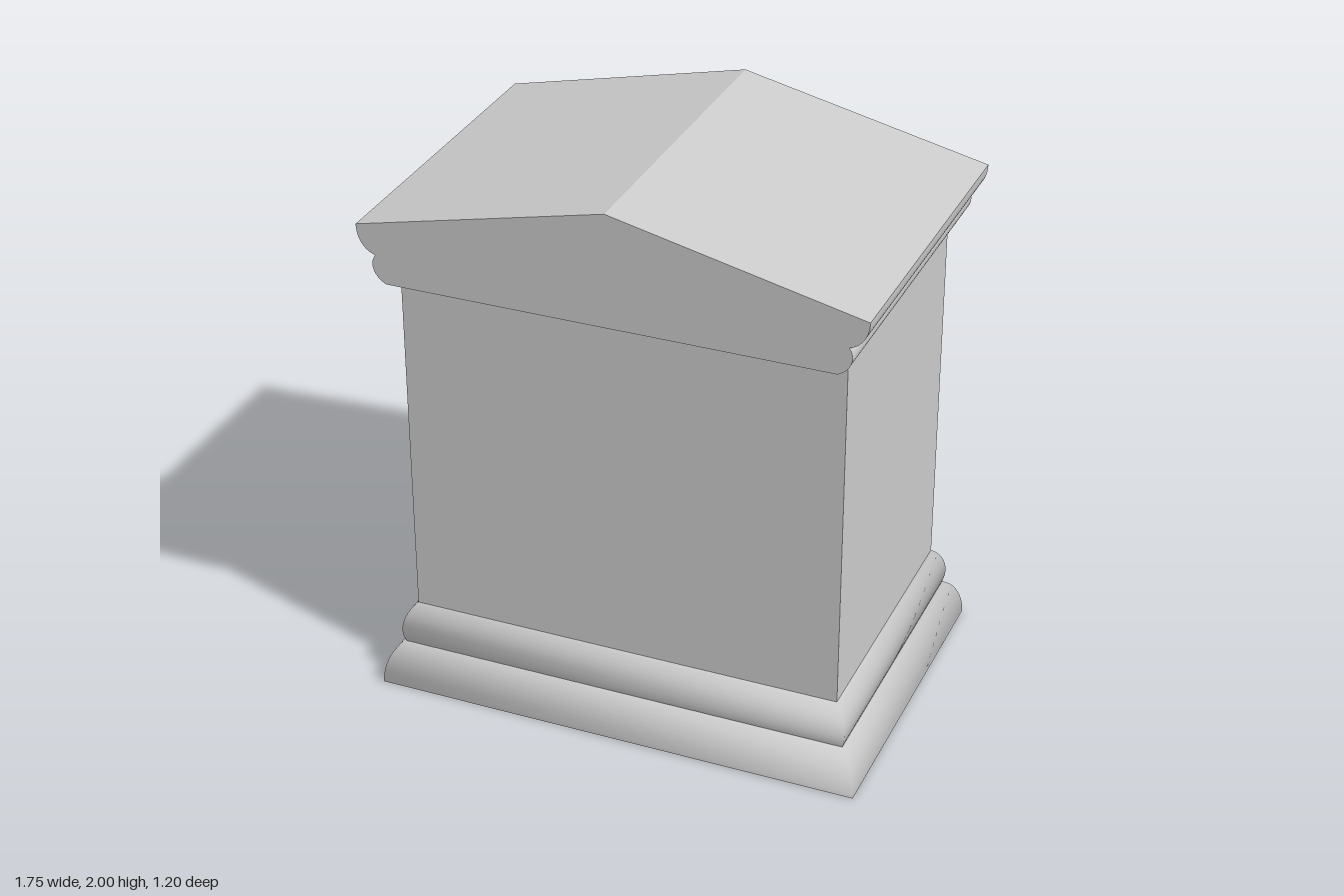
import * as THREE from 'three';
import { toCreasedNormals } from 'three/addons/utils/BufferGeometryUtils.js';

const W = 0.775, D = 0.5;          // half width and half depth of the body
const BASE = 0.3, EAVES = 1.6;     // bottom and top of the body

export function createModel() {
  const group = new THREE.Group();
  group.name = 'smallTemple';
  const material = new THREE.MeshStandardMaterial({ color: 0xcccccc });

  function add(name, geometry) {
    const mesh = new THREE.Mesh(geometry, material);
    mesh.name = name;
    group.add(mesh);
    return mesh;
  }

  // Rectangular moulding: rings of four corners, offset from the body by a curve of (offset, y)
  function moulding(curve, steps = 10) {
    const pos = [], index = [];
    const corners = [[1, 1], [1, -1], [-1, -1], [-1, 1]];
    const ring = (p) => corners.forEach(([sx, sz]) => pos.push(sx * (W + p.x), p.y, sz * (D + p.x)));
    const pts = curve.getPoints(steps);
    pts.forEach(ring);
    for (let i = 0; i < steps; i++) {
      for (let k = 0; k < 4; k++) {
        const a = i * 4 + k, b = i * 4 + (k + 1) % 4;
        index.push(a, b, a + 4, b, b + 4, a + 4);
      }
    }
    // Flat caps with their own corners
    const low = pos.length / 3;
    ring(pts[0]);
    ring(pts[steps]);
    index.push(low, low + 2, low + 1, low, low + 3, low + 2);
    index.push(low + 4, low + 5, low + 6, low + 4, low + 6, low + 7);
    const geometry = new THREE.BufferGeometry();
    geometry.setAttribute('position', new THREE.Float32BufferAttribute(pos, 3));
    geometry.setIndex(index);
    geometry.computeVertexNormals();
    return geometry;
  }

  const v = (x, y) => new THREE.Vector2(x, y);
  add('lowerBaseMoulding', moulding(new THREE.CubicBezierCurve(
    v(0.1, 0), v(0.1, 0.06), v(0.08, 0.125), v(0.04, 0.15))));
  add('upperBaseMoulding', moulding(new THREE.CubicBezierCurve(
    v(0.036, 0.15), v(0.056, 0.2), v(0.042, 0.265), v(0, BASE))));

  // Body: plan with a stepped recess in the back, raised to the eaves
  const half = [[W, -D], [W, D], [0.675, D], [0.675, D - 0.045], [0.626, D - 0.045], [0.626, D - 0.1]];
  const plan = new THREE.Shape([
    ...half.map(([x, y]) => v(x, y)),
    ...half.slice().reverse().map(([x, y]) => v(-x, y)),
  ]);
  const body = new THREE.ExtrudeGeometry(plan, { depth: EAVES - BASE, bevelEnabled: false });
  body.rotateX(-Math.PI / 2);
  body.translate(0, BASE, 0);
  add('body', body);

  // Four back panels parted by a narrow cross-shaped seam
  const seam = 0.006;
  const pw = 0.626 - seam / 2, ph = (EAVES - BASE - seam) / 2;
  for (const sx of [-1, 1]) {
    for (const sy of [-1, 1]) {
      add('backPanel', new THREE.BoxGeometry(pw, ph, 0.02)).position.set(
        sx * (pw + seam) / 2, (BASE + EAVES) / 2 + sy * (ph + seam) / 2, -D + 0.095);
    }
  }

  // Gabled roof with a double-curved cornice down both sides
  const gable = new THREE.Shape();
  gable.moveTo(-W, EAVES);
  gable.lineTo(W, EAVES);
  gable.bezierCurveTo(0.81, 1.615, 0.84, 1.66, 0.81, 1.7);
  gable.bezierCurveTo(0.85, 1.71, 0.875, 1.75, 0.875, 1.8);
  gable.lineTo(0, 2);
  gable.lineTo(-0.875, 1.8);
  gable.bezierCurveTo(-0.875, 1.75, -0.85, 1.71, -0.81, 1.7);
  gable.bezierCurveTo(-0.84, 1.66, -0.81, 1.615, -W, EAVES);
  const roof = new THREE.ExtrudeGeometry(gable, { depth: 1.2, bevelEnabled: false, curveSegments: 10 });
  roof.translate(0, 0, -0.6);
  add('roof', toCreasedNormals(roof, 0.35));

  return group;
}
